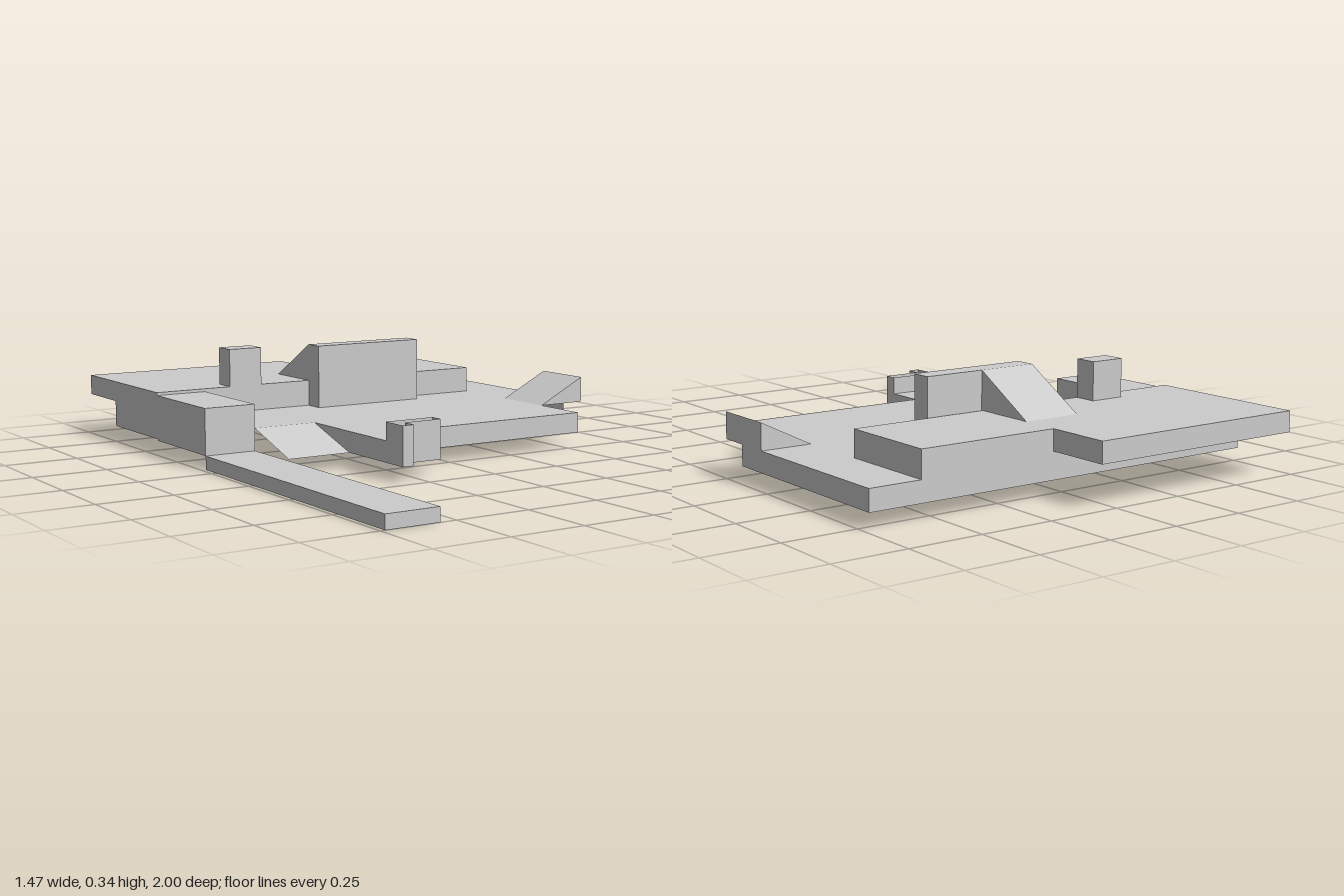
import * as THREE from 'three';

const material = new THREE.MeshStandardMaterial({ color: 0xcccccc, flatShading: true, side: THREE.DoubleSide });

function addMesh(group, name, geometry) {
  const mesh = new THREE.Mesh(geometry, material);
  mesh.name = name;
  group.add(mesh);
  return mesh;
}

// Horizontal sheet from an outline of [x, z] points, with optional hole outlines.
function deck(group, name, y, outline, holes = []) {
  const toPoints = (list) => list.map(([x, z]) => new THREE.Vector2(x, -z));
  const shape = new THREE.Shape(toPoints(outline));
  holes.forEach((h) => shape.holes.push(new THREE.Path(toPoints(h))));
  addMesh(group, name, new THREE.ShapeGeometry(shape).rotateX(-Math.PI / 2).translate(0, y, 0));
}

// Polygon fan through 3 or 4 corners, counter-clockwise seen from outside.
function face(group, name, ...corners) {
  const geometry = new THREE.BufferGeometry();
  const fan = [];
  for (let i = 1; i < corners.length - 1; i++) fan.push(...corners[0], ...corners[i], ...corners[i + 1]);
  geometry.setAttribute('position', new THREE.Float32BufferAttribute(fan, 3));
  geometry.computeVertexNormals();
  addMesh(group, name, geometry);
}

// Upright walls along a path of [x, z] points; the outside is on the right of the path.
function walls(group, name, y0, y1, path) {
  for (let i = 0; i < path.length - 1; i++) {
    const [ax, az] = path[i];
    const [bx, bz] = path[i + 1];
    face(group, name, [ax, y0, az], [bx, y0, bz], [bx, y1, bz], [ax, y1, az]);
  }
}

const rect = (x0, x1, z0, z1) => [[x0, z1], [x1, z1], [x1, z0], [x0, z0]];

// Block with a top and four sides, open underneath.
function block(group, name, x0, x1, y0, y1, z0, z1) {
  const r = rect(x0, x1, z0, z1);
  deck(group, name + 'Top', y1, r);
  walls(group, name + 'Side', y0, y1, [...r, r[0]]);
}

function part(parent, name) {
  const group = new THREE.Group();
  group.name = name;
  parent.add(group);
  return group;
}

export function createModel() {
  const model = new THREE.Group();
  model.name = 'terracedPlatform';

  // Long low walkway
  block(part(model, 'walkway'), 'walkway', -0.735, -0.555, 0, 0.045, -0.07, 1);

  // Main floor with the notch for the entry ramp and the side strip
  const floor = part(model, 'mainFloor');
  deck(floor, 'floorTop', 0.12, [
    [-0.555, -0.07], [-0.33, -0.07], [-0.33, 0.375], [-0.155, 0.375], [-0.155, 0.24], [0.55, 0.24],
    [0.55, -0.065], [0.73, -0.065], [0.73, -0.78], [0.55, -0.78], [0.55, -0.43], [-0.555, -0.43],
  ]);
  walls(floor, 'frontWall', 0.05, 0.12, [[-0.155, 0.375], [-0.155, 0.24], [0.55, 0.24]]);
  walls(floor, 'notchWall', 0.05, 0.12, [[-0.33, -0.07], [-0.33, 0.375]]);
  walls(floor, 'stripWall', 0.05, 0.12, [[0.73, -0.065], [0.73, -0.78], [0.55, -0.78]]);

  // Entry ramp rising towards the back
  face(part(model, 'entryRamp'), 'rampSlope',
    [-0.555, 0.05, 0.155], [-0.33, 0.05, 0.155], [-0.33, 0.12, -0.07], [-0.555, 0.12, -0.07]);

  // Open-topped stepped parapet at the front
  const parapet = part(model, 'parapet');
  walls(parapet, 'parapetWall', 0.05, 0.18, [
    [-0.33, 0.375], [-0.33, 0.47], [-0.29, 0.47], [-0.29, 0.42], [-0.155, 0.42], [-0.155, 0.375],
  ]);
  walls(parapet, 'parapetBack', 0.12, 0.18, [[-0.155, 0.375], [-0.33, 0.375]]);

  // Raised rear terrace with overhanging back ledge
  const terrace = part(model, 'rearTerrace');
  deck(terrace, 'terraceTop', 0.21,
    [[-0.735, -0.43], [0.55, -0.43], [0.55, -0.78], [0.06, -0.78], [0.06, -1], [-0.735, -1]],
    [rect(-0.458, -0.335, -0.51, -0.432)]);
  walls(terrace, 'stepWall', 0.12, 0.21, [[-0.735, -0.43], [0.55, -0.43], [0.55, -0.78]]);
  walls(terrace, 'backWall', 0.05, 0.21, [[0.55, -0.78], [0.06, -0.78]]);
  walls(terrace, 'underLedgeWall', 0.05, 0.14, [[0.06, -0.78], [-0.735, -0.78]]);
  walls(terrace, 'ledgeWall', 0.14, 0.21, [[0.06, -0.78], [0.06, -1], [-0.735, -1], [-0.735, -0.78]]);
  walls(terrace, 'sideWall', 0.05, 0.21, [[-0.735, -0.78], [-0.735, -0.43]]);

  // Raised side block above the walkway
  const side = part(model, 'sideBlock');
  deck(side, 'sideBlockTop', 0.2, rect(-0.735, -0.555, -0.43, -0.07));
  walls(side, 'sideBlockWall', 0.045, 0.2, [[-0.735, -0.43], [-0.735, -0.07], [-0.555, -0.07]]);
  walls(side, 'sideBlockInnerWall', 0.12, 0.2, [[-0.555, -0.07], [-0.555, -0.43]]);

  // Small pillar, flush with the step
  block(part(model, 'pillar'), 'pillar', -0.458, -0.335, 0.21, 0.34, -0.51, -0.43);

  // Standing panel with a sloped ramp behind it
  const panel = part(model, 'panel');
  block(panel, 'panel', -0.145, 0.273, 0.12, 0.34, -0.425, -0.355);
  const [l, r] = [-0.145, 0.06];
  face(panel, 'rearSlope', [r, 0.21, -0.65], [l, 0.21, -0.65], [l, 0.34, -0.425], [r, 0.34, -0.425]);
  face(panel, 'rearSlopeLeft', [r, 0.21, -0.425], [r, 0.21, -0.65], [r, 0.34, -0.425]);
  face(panel, 'rearSlopeRight', [l, 0.21, -0.65], [l, 0.21, -0.425], [l, 0.34, -0.425]);

  // Side wedge rising outwards
  const wedge = part(model, 'sideWedge');
  const [a, b, f, k] = [0.55, 0.73, 0.035, -0.185];
  face(wedge, 'wedgeSlope', [a, 0.12, f], [b, 0.21, f], [b, 0.21, k], [a, 0.12, k]);
  face(wedge, 'wedgeFront', [a, 0.12, f], [b, 0.12, f], [b, 0.21, f]);
  face(wedge, 'wedgeBack', [b, 0.12, k], [a, 0.12, k], [b, 0.21, k]);
  walls(wedge, 'wedgeOuterWall', 0.12, 0.21, [[b, f], [b, k]]);

  return model;
}
